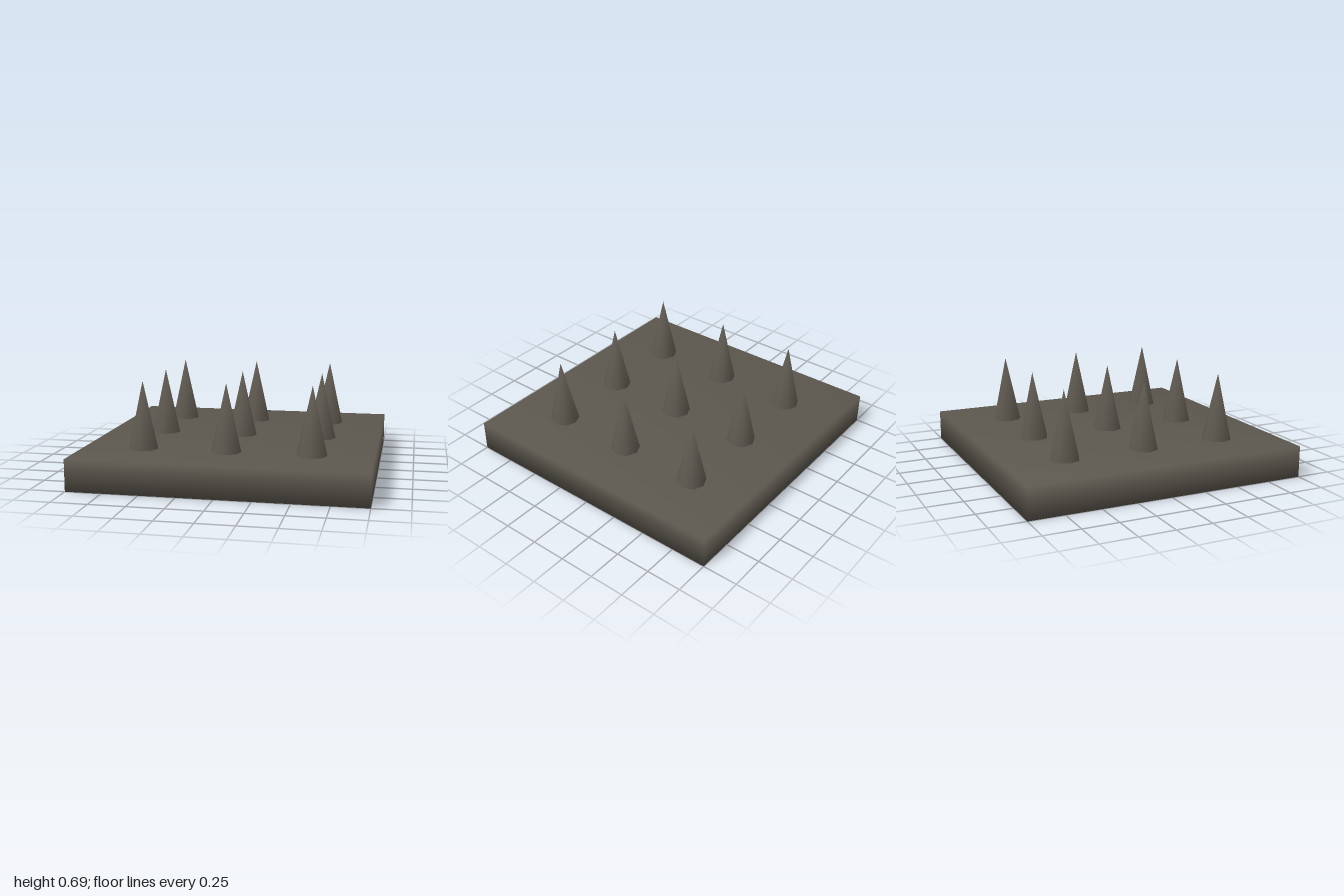
import * as THREE from 'three';
import { mergeVertices } from 'three/addons/utils/BufferGeometryUtils.js';

const SLAB_HEIGHT = 0.22;
const SPIKE_HEIGHT = 0.47;
const SPIKE_RADIUS = 0.104;
const SPACING = 0.582;

// Share corner vertices so the normals blend across edges, weighted by face area
function smooth(geometry) {
  geometry.deleteAttribute('normal');
  geometry.deleteAttribute('uv');
  const merged = mergeVertices(geometry);
  merged.computeVertexNormals();
  return merged;
}

export function createModel() {
  const group = new THREE.Group();
  group.name = 'spikeTrap';
  const material = new THREE.MeshStandardMaterial({ color: 0x5c574e });

  // Square base slab
  const slab = new THREE.Mesh(smooth(new THREE.BoxGeometry(2, SLAB_HEIGHT, 2)), material);
  slab.name = 'baseSlab';
  slab.position.y = SLAB_HEIGHT / 2;
  group.add(slab);

  // Three by three grid of eight-sided spikes
  const spikeGeometry = smooth(new THREE.ConeGeometry(SPIKE_RADIUS, SPIKE_HEIGHT, 8, 1, true));
  const spikes = new THREE.Group();
  spikes.name = 'spikes';
  for (let row = -1; row <= 1; row++) {
    for (let column = -1; column <= 1; column++) {
      const spike = new THREE.Mesh(spikeGeometry, material);
      spike.name = 'spike';
      spike.position.set(column * SPACING, SLAB_HEIGHT + SPIKE_HEIGHT / 2, row * SPACING);
      spikes.add(spike);
    }
  }
  group.add(spikes);

  return group;
}
